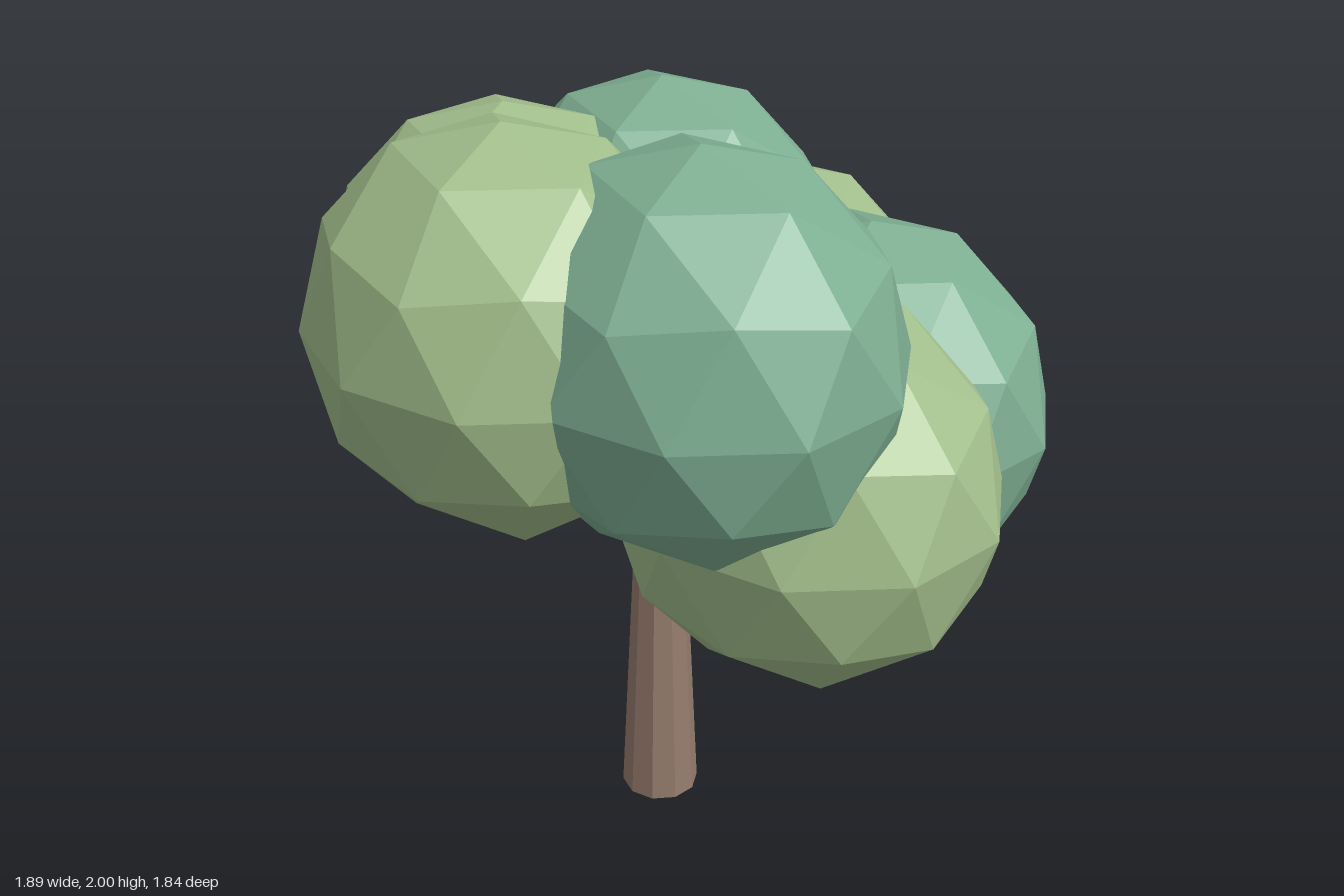
import * as THREE from 'three';

const material = (name, color) => {
  const m = new THREE.MeshStandardMaterial({ color, flatShading: true });
  m.name = name;
  return m;
};

export function createModel() {
  const tree = new THREE.Group();
  tree.name = 'tree';
  const bark = material('bark brown', 0x967c6e);
  const light = material('light leaf green', 0xa3bf8c);
  const dark = material('dark leaf green', 0x7eaf92);

  const add = (name, geometry, mat) => {
    const mesh = new THREE.Mesh(geometry, mat);
    mesh.name = name;
    tree.add(mesh);
    return mesh;
  };

  // Tapered trunk standing on the ground
  const trunkHeight = 1.2;
  add('trunk', new THREE.CylinderGeometry(0.046, 0.1, trunkHeight, 10), bark).position.set(-0.005, trunkHeight / 2, 0);

  // Foliage ball: a vertex at each pole, slightly wider than deep
  const ball = new THREE.IcosahedronGeometry(1, 1);
  ball.rotateZ(-Math.atan(2 / (1 + Math.sqrt(5))));
  ball.scale(0.484, 0.47, 0.44);

  // Ball centre and leaf colour, with one branch reaching into each
  const clumps = [
    [0.033, 1.53, 0.478, light],
    [0.403, 1.53, 0.255, dark],
    [-0.485, 1.337, 0.077, light],
    [-0.367, 1.337, -0.332, dark],
    [-0.135, 1.137, -0.48, light],
    [0.29, 1.137, -0.4, dark],
    [0.48, 1.137, -0.005, light],
  ];
  const up = new THREE.Vector3(0, 1, 0);
  clumps.forEach(([x, y, z, leaf], i) => {
    const end = new THREE.Vector3(x, y, z);
    add('foliage' + (i + 1), ball, leaf).position.copy(end);

    const start = new THREE.Vector3(-0.005, 0.82, 0);
    const along = end.clone().sub(start);
    const branch = add('branch' + (i + 1), new THREE.CylinderGeometry(0.022, 0.036, along.length(), 7), bark);
    branch.position.copy(start).addScaledVector(along, 0.5);
    branch.quaternion.setFromUnitVectors(up, along.normalize());
  });

  return tree;
}
